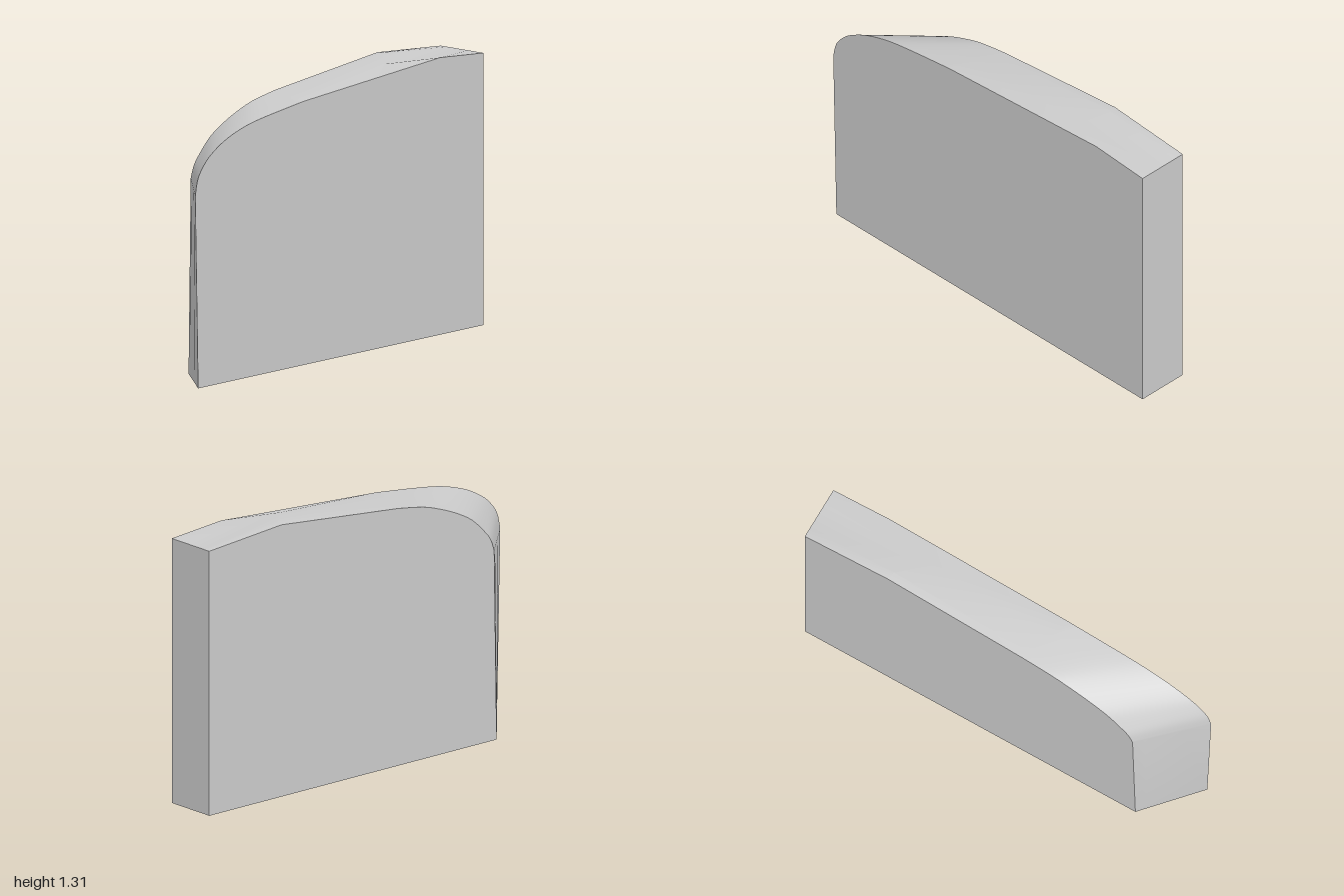
import * as THREE from 'three';
import { toCreasedNormals } from 'three/addons/utils/BufferGeometryUtils.js';

const DEPTH = 0.13;

// Closed outline: bottom edge, leaning end, smooth shoulder, crest, straight end
function outline(bottomX, shoulder, crest) {
  const curve = new THREE.SplineCurve(shoulder.map(([x, y]) => new THREE.Vector2(x, y)));
  return [
    new THREE.Vector2(1, 0),
    new THREE.Vector2(bottomX, 0),
    ...curve.getPoints(28),
    new THREE.Vector2(...crest),
    new THREE.Vector2(1, 1.27),
  ];
}

// Skin the sections from front to back and close both faces
function loft(sections) {
  const n = sections[0].points.length;
  const positions = [], index = [];
  for (const { points, z } of sections) {
    for (const p of points) positions.push(p.x, p.y, z);
  }
  for (let s = 0; s < sections.length - 1; s++) {
    for (let i = 0; i < n; i++) {
      const a = s * n + i, b = s * n + (i + 1) % n;
      index.push(a, b, b + n, a, b + n, a + n);
    }
  }
  const last = (sections.length - 1) * n;
  for (let i = 1; i < n - 1; i++) {
    index.push(0, i + 1, i);
    index.push(last, last + i, last + i + 1);
  }
  const geometry = new THREE.BufferGeometry();
  geometry.setAttribute('position', new THREE.Float32BufferAttribute(positions, 3));
  geometry.setIndex(index);
  return toCreasedNormals(geometry, 0.4);
}

export function createModel() {
  const front = outline(-0.98, [
    [-1, 0.9], [-0.98, 0.98], [-0.93, 1.045], [-0.87, 1.09],
    [-0.78, 1.135], [-0.65, 1.175], [-0.5, 1.2], [-0.25, 1.23],
  ], [0.7, 1.293]);
  const back = outline(-0.75, [
    [-0.735, 0.91], [-0.715, 0.965], [-0.68, 1.01], [-0.6, 1.085],
    [-0.5, 1.14], [-0.4, 1.18], [-0.3, 1.21], [-0.15, 1.235],
  ], [0.56, 1.305]);

  // In-between section whose crest point wanders off the straight line
  const between = (z, crest) => {
    const t = (DEPTH - z) / (2 * DEPTH);
    const points = front.map((p, i) => p.clone().lerp(back[i], t));
    points[points.length - 2].set(...crest);
    return { points, z };
  };

  const panel = new THREE.Mesh(
    loft([
      { points: front, z: DEPTH },
      between(0.04, [0.41, 1.294]),
      between(-0.09, [0.55, 1.31]),
      { points: back, z: -DEPTH },
    ]),
    new THREE.MeshStandardMaterial({ color: 0xcccccc })
  );
  panel.name = 'panel';

  const group = new THREE.Group();
  group.name = 'curvedPanel';
  group.add(panel);
  return group;
}
